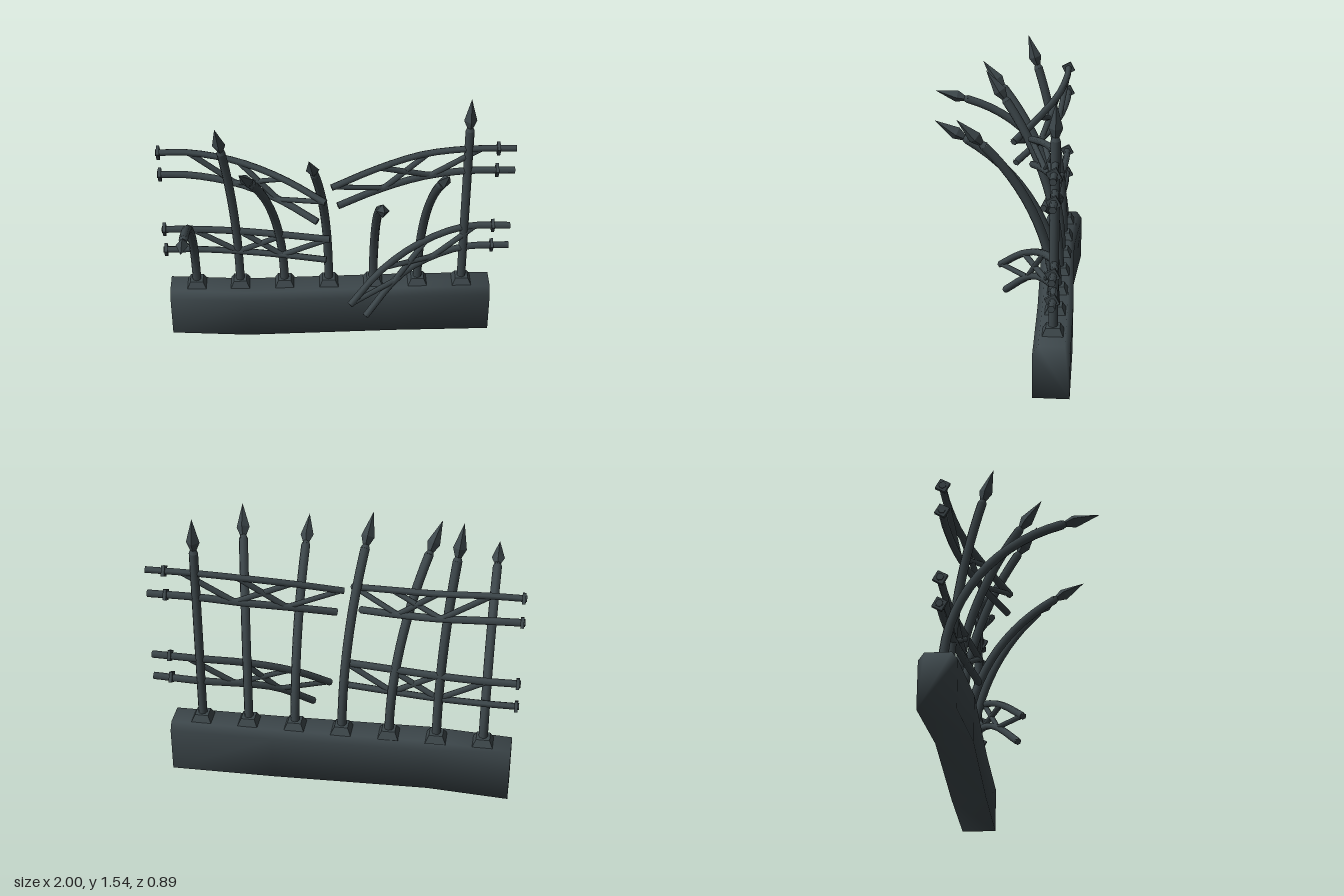
import * as THREE from 'three';

const iron = new THREE.MeshStandardMaterial({ color: 0x3c464a });
iron.name = 'darkIron';
const V = (x, y, z) => new THREE.Vector3(x, y, z);
const UP = V(0, 1, 0);

function add(parent, name, geometry) {
  const mesh = new THREE.Mesh(geometry, iron);
  mesh.name = name;
  parent.add(mesh);
  return mesh;
}

// Faceted copy of a geometry
function facet(geometry) {
  const g = geometry.toNonIndexed();
  g.computeVertexNormals();
  return g;
}

// Round bar along a curve, closed at both ends
function bar(parent, name, curve, radius, sides, steps) {
  const group = new THREE.Group();
  group.name = name;
  parent.add(group);
  add(group, name + 'Shaft', new THREE.TubeGeometry(curve, steps, radius, sides));
  for (const t of [0, 1]) {
    const cap = add(group, name + 'End', new THREE.CircleGeometry(radius, sides));
    cap.position.copy(curve.getPointAt(t));
    const dir = curve.getTangentAt(t).multiplyScalar(t ? 1 : -1);
    cap.quaternion.setFromUnitVectors(V(0, 0, 1), dir);
  }
}

// Slightly bowed wall with bevelled upper edges, lofted along x
function wallGeometry() {
  const profile = [[-0.097, 0], [0.097, 0], [0.097, 0.255], [0.068, 0.297], [-0.068, 0.297], [-0.097, 0.255]];
  const sections = [[-0.975, -0.337], [-0.53, -0.306], [0.33, -0.33], [0.9, -0.335]];
  const n = profile.length, pos = [], idx = [];
  for (const [x, z] of sections) for (const [pz, py] of profile) pos.push(x, py, z + pz);
  for (let s = 0; s < sections.length - 1; s++) {
    for (let i = 0; i < n; i++) {
      const a = s * n + i, b = s * n + (i + 1) % n;
      idx.push(a, a + n, b + n, a, b + n, b);
    }
  }
  const last = (sections.length - 1) * n;
  for (let i = 1; i < n - 1; i++) idx.push(0, i, i + 1, last, last + i + 1, last + i);
  const g = new THREE.BufferGeometry();
  g.setAttribute('position', new THREE.Float32BufferAttribute(pos, 3));
  g.setIndex(idx);
  g.computeVertexNormals();
  return g;
}

// Post bent along a circular arc of fixed length toward (dx, dz)
function post(parent, x, bend, dx, dz) {
  const group = new THREE.Group();
  group.name = 'post';
  group.position.set(x, 0.295, -0.335);
  parent.add(group);

  const foot = add(group, 'postFoot', facet(new THREE.CylinderGeometry(0.052, 0.08, 0.042, 4).rotateY(Math.PI / 4)));
  foot.position.y = 0.02;

  const length = 1.045, dir = V(dx, 0, dz).normalize(), pts = [];
  for (let i = 0; i <= 10; i++) {
    const a = bend * i / 10;
    const out = bend ? length / bend * (1 - Math.cos(a)) : 0;
    const h = bend ? length / bend * Math.sin(a) : length * i / 10;
    pts.push(dir.clone().multiplyScalar(out).setY(h));
  }
  bar(group, 'postBar', new THREE.CatmullRomCurve3(pts), 0.025, 8, 14);

  // Spear head: taper, flare and point
  const head = new THREE.Group();
  head.name = 'spearHead';
  head.position.copy(pts[10]);
  head.quaternion.setFromUnitVectors(UP, dir.multiplyScalar(Math.sin(bend)).setY(Math.cos(bend)));
  group.add(head);
  add(head, 'spearNeck', new THREE.CylinderGeometry(0.016, 0.025, 0.02, 8)).position.y = 0.01;
  add(head, 'spearFlare', facet(new THREE.CylinderGeometry(0.036, 0.016, 0.05, 4))).position.y = 0.04;
  add(head, 'spearPoint', facet(new THREE.ConeGeometry(0.036, 0.135, 4))).position.y = 0.1325;
}

// Pair of bent rails with lattice braces and a collar on each outer end
function railPair(parent, name, collarX, upper, lower) {
  const group = new THREE.Group();
  group.name = name;
  parent.add(group);
  const curves = [upper, lower].map(p => new THREE.CatmullRomCurve3(p.map(q => V(...q))));
  for (const c of curves) {
    bar(group, 'rail', c, 0.02, 6, 12);
    const collar = add(group, 'railCollar', new THREE.BoxGeometry(0.018, 0.058, 0.058));
    collar.position.set(collarX, c.getPointAt(0).y, -0.335);
    collar.rotation.x = 0.5;
  }
  for (const [tu, tl] of [[0.18, 0.46], [0.73, 0.46], [0.46, 0.73], [0.99, 0.73]]) {
    const path = new THREE.LineCurve3(curves[0].getPointAt(tu), curves[1].getPointAt(tl));
    bar(group, 'brace', path, 0.016, 6, 1);
  }
}

export function createModel() {
  const model = new THREE.Group();
  model.name = 'brokenFence';

  add(model, 'wall', wallGeometry());

  // Posts: x, bend angle, lean direction
  [
    [-0.82, 1.32, 0, 1],
    [-0.565, 0.335, -0.085, 0.22],
    [-0.305, 0.765, -0.205, 0.45],
    [-0.045, 0.63, -0.105, 0.41],
    [0.215, 1.03, 0.02, 0.645],
    [0.475, 0.765, 0.1, 0.485],
    [0.735, 0, 0, 1],
  ].forEach(p => post(model, ...p));

  railPair(model, 'upperRightRails', -0.985,
    [[-1, 1.22, -0.335], [-0.82, 1.22, -0.335], [-0.55, 1.185, -0.295], [-0.3, 1.13, -0.2], [-0.065, 1.055, -0.07]],
    [[-1, 1.075, -0.335], [-0.82, 1.07, -0.335], [-0.55, 1.035, -0.295], [-0.32, 0.985, -0.205], [-0.11, 0.92, -0.08]]);
  railPair(model, 'lowerRightRails', -0.985,
    [[-1, 0.695, -0.335], [-0.82, 0.693, -0.335], [-0.55, 0.69, -0.315], [-0.3, 0.685, -0.28], [-0.04, 0.678, -0.24]],
    [[-1, 0.55, -0.335], [-0.82, 0.55, -0.335], [-0.55, 0.545, -0.315], [-0.3, 0.54, -0.28], [-0.06, 0.532, -0.24]]);
  railPair(model, 'upperLeftRails', 0.9,
    [[1, 1.22, -0.335], [0.735, 1.22, -0.335], [0.475, 1.2, -0.315], [0.215, 1.15, -0.25], [-0.03, 1.085, -0.17]],
    [[1, 1.075, -0.335], [0.735, 1.075, -0.335], [0.475, 1.05, -0.315], [0.215, 1.005, -0.25], [0.005, 0.955, -0.18]]);
  railPair(model, 'lowerLeftRails', 0.9,
    [[1, 0.69, -0.335], [0.735, 0.685, -0.335], [0.475, 0.63, -0.255], [0.25, 0.525, -0.14], [0.07, 0.38, -0.01]],
    [[1, 0.55, -0.335], [0.735, 0.54, -0.335], [0.49, 0.495, -0.26], [0.34, 0.43, -0.18], [0.16, 0.268, -0.045]]);

  return model;
}
